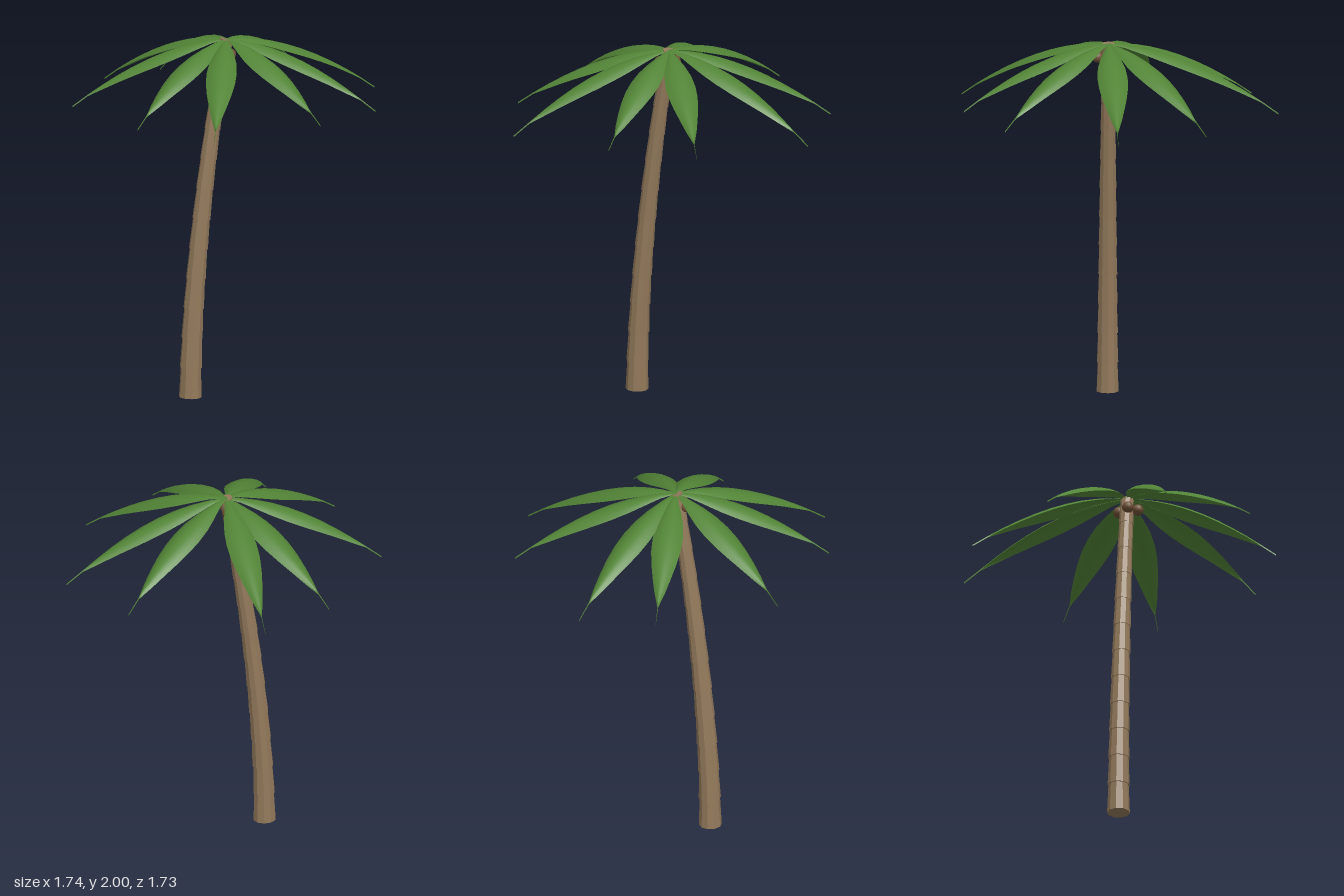
import * as THREE from 'three';

const BARK = new THREE.MeshStandardMaterial({ color: 0x92795b, flatShading: true });
const NUT = new THREE.MeshStandardMaterial({ color: 0x6e5036 });
const LEAF = new THREE.MeshStandardMaterial({ color: 0x528436, side: THREE.DoubleSide });

const CROWN = new THREE.Vector3(-0.058, 1.995, 0.06);

// Centre line of the leaning trunk at height y
const trunkPoint = (y) => new THREE.Vector3(-0.28 + 0.222 * Math.pow(y / 2, 1.7), y, 0.06);

// Stacked tapered rings, each wider at its foot than the top of the ring beneath
function makeTrunk() {
  const trunk = new THREE.Group();
  trunk.name = 'trunk';
  const count = 12, top = 1.993;
  for (let i = 0; i < count; i++) {
    const a = trunkPoint((top * i) / count);
    const b = trunkPoint((top * (i + 1)) / count);
    const r = THREE.MathUtils.lerp(0.063, 0.04, i / (count - 1));
    const geo = new THREE.CylinderGeometry(r * 0.89, r, a.distanceTo(b), 10, 1, false, Math.PI / 10);
    const ring = new THREE.Mesh(geo, BARK);
    ring.name = 'trunkRing';
    ring.position.copy(a).lerp(b, 0.5);
    ring.quaternion.setFromUnitVectors(new THREE.Vector3(0, 1, 0), b.clone().sub(a).normalize());
    trunk.add(ring);
  }
  return trunk;
}

// Half width of a frond at each station from stem to needle tip
const STATIONS = [
  [0, 0.007], [0.1, 0.028], [0.2, 0.055], [0.3, 0.075], [0.4, 0.083], [0.5, 0.08], [0.6, 0.068],
  [0.7, 0.05], [0.8, 0.029], [0.87, 0.01], [0.9, 0.002], [1, 0.0004],
];

// Drooping leaf blade along +x with an arched cross-section
function makeFrond(length) {
  const across = 8, pos = [], index = [];
  STATIONS.forEach(([u, w], i) => {
    const drop = 0.41 * length * Math.pow(u, 1.8);
    const depth = 0.4 * w + 0.008 * u;
    for (let j = 0; j <= across; j++) {
      const t = (j / across) * 2 - 1;
      pos.push(u * length, -drop - depth * t * t, w * t);
      if (i > 0 && j > 0) {
        const d = i * (across + 1) + j, c = d - 1;
        const b = d - across - 1, a = b - 1;
        index.push(a, b, c, b, d, c);
      }
    }
  });
  const geo = new THREE.BufferGeometry();
  geo.setAttribute('position', new THREE.Float32BufferAttribute(pos, 3));
  geo.setIndex(index);
  geo.computeVertexNormals();
  return new THREE.Mesh(geo, LEAF);
}

export function createModel() {
  const model = new THREE.Group();
  model.name = 'palmTree';
  model.add(makeTrunk());

  // Nine fronds around the crown, given by their tips on the ground plan
  const fronds = new THREE.Group();
  fronds.name = 'fronds';
  const tips = [
    [-0.003, -0.87], [0.655, -0.46], [0.865, 0.025], [0.565, 0.64], [0.12, 0.855],
    [-0.53, 0.855], [-0.8, 0.455], [-0.87, -0.205], [-0.41, -0.73],
  ];
  for (const [x, z] of tips) {
    const dx = x - CROWN.x, dz = z - CROWN.z;
    const frond = makeFrond(Math.hypot(dx, dz));
    frond.name = 'frond';
    frond.position.copy(CROWN);
    frond.rotation.y = Math.atan2(-dz, dx);
    fronds.add(frond);
  }
  model.add(fronds);

  // Three coconuts clustered below the crown
  const coconuts = new THREE.Group();
  coconuts.name = 'coconuts';
  for (const [x, z] of [[-0.113, 0.075], [-0.065, 0.12], [-0.055, 0.012]]) {
    const nut = new THREE.Mesh(new THREE.SphereGeometry(0.032, 14, 10), NUT);
    nut.name = 'coconut';
    nut.position.set(x, 1.92, z);
    coconuts.add(nut);
  }
  model.add(coconuts);
  return model;
}
